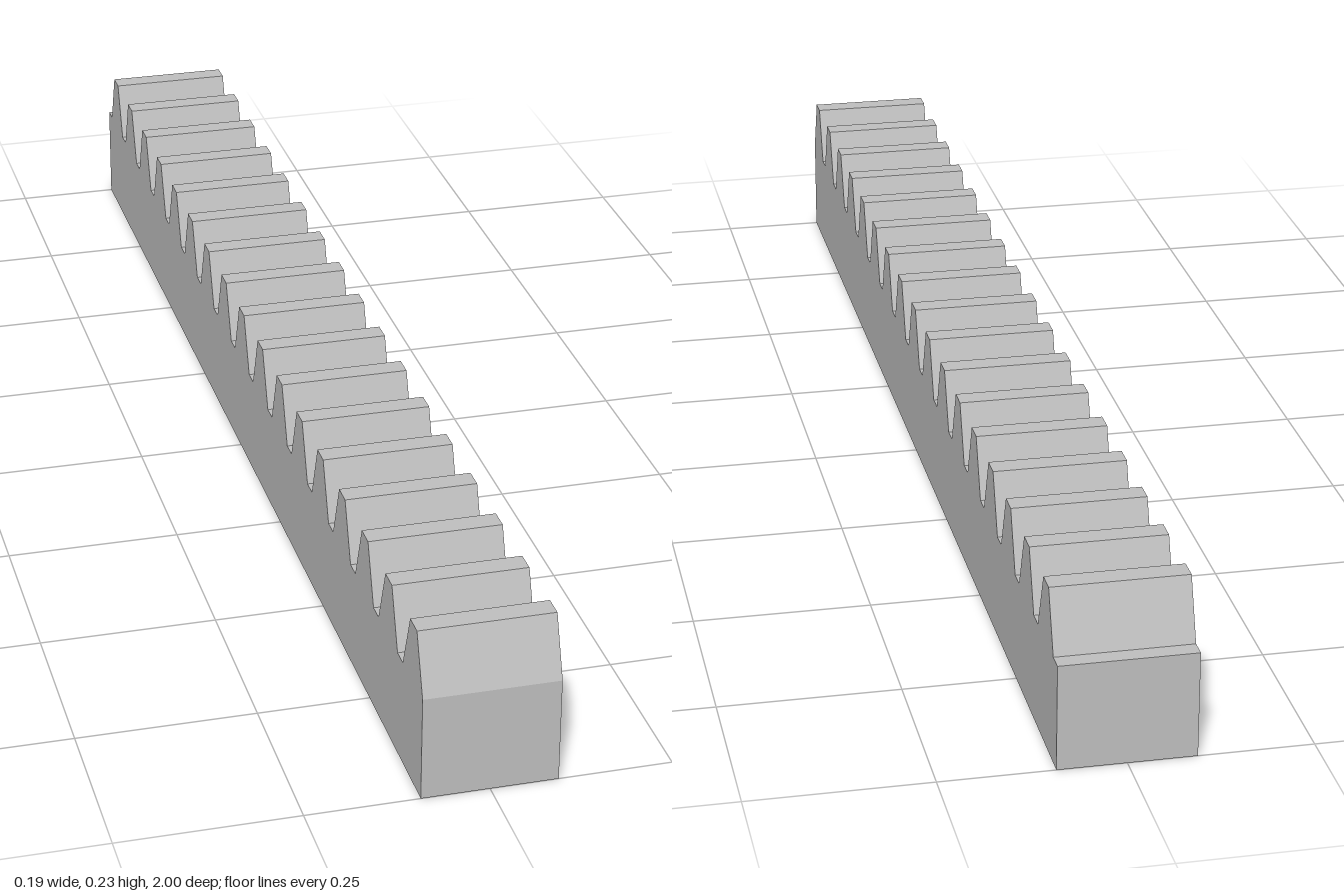
import * as THREE from 'three';

// Straight gear rack: 17 trapezoidal teeth with 20 degree flanks
const TEETH = 17;
const LENGTH = 2;
const PITCH = LENGTH / TEETH;
const MODULE = PITCH / Math.PI;
const WIDTH = 5 * MODULE;
const ROOT = 4 * MODULE + 0.0004;
const TIP = ROOT + 2.25 * MODULE;

export function createModel() {
  const group = new THREE.Group();
  group.name = 'gearRack';
  const steel = new THREE.MeshStandardMaterial({ color: 0xc0c0c0 });
  steel.name = 'steel grey';

  // Tooth widths at the foot and at the tip
  const slope = Math.tan(THREE.MathUtils.degToRad(20));
  const foot = PITCH / 2 + 2.5 * MODULE * slope;
  const rise = 2.25 * MODULE * slope;

  // Side profile: the first tooth starts flush with the front end,
  // the last one leaves a short land at the back end
  const profile = new THREE.Shape();
  profile.moveTo(-LENGTH / 2, 0);
  profile.lineTo(LENGTH / 2, 0);
  for (let i = 0; i < TEETH; i++) {
    const start = LENGTH / 2 - i * PITCH;
    profile.lineTo(start, ROOT);
    profile.lineTo(start - rise, TIP);
    profile.lineTo(start - foot + rise, TIP);
    profile.lineTo(start - foot, ROOT);
  }
  profile.lineTo(-LENGTH / 2, ROOT);
  profile.closePath();

  // Extrude across the width, then turn the profile to run along z
  const geometry = new THREE.ExtrudeGeometry(profile, { depth: WIDTH, bevelEnabled: false });
  geometry.translate(0, 0, -WIDTH / 2);
  geometry.rotateY(-Math.PI / 2);

  const rack = new THREE.Mesh(geometry, steel);
  rack.name = 'toothedBar';
  group.add(rack);
  return group;
}
